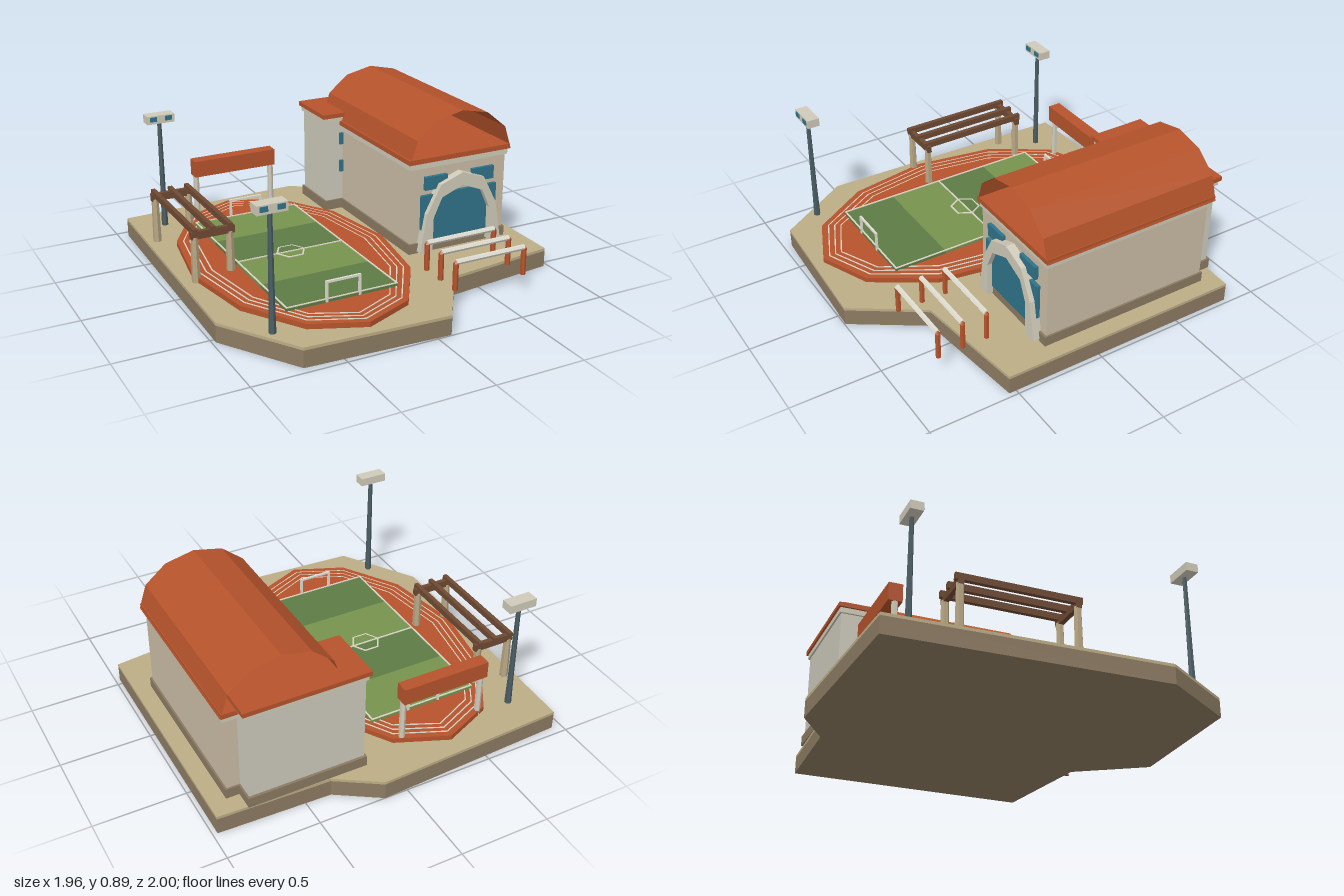
import * as THREE from 'three';

const C = {
  soil: 0x8c7b62, sand: 0xbcad86, red: 0xb5532b, line: 0xd8d4c4, grassA: 0x77934d, grassB: 0x5d7c45,
  wall: 0xcabda5, annex: 0xcdc9bb, cream: 0xcfcab9, plinth: 0x8a7a62, glass: 0x2f7389,
  wood: 0x6e4a33, post: 0xb8a684, steel: 0x4a5d63, white: 0xe0ddd2,
};
const mats = {};
const mat = (color, double) => (mats[color + '-' + !!double] ??= new THREE.MeshStandardMaterial({
  color, flatShading: true, side: double ? THREE.DoubleSide : THREE.FrontSide }));

function add(parent, name, geo, color, double) {
  const m = new THREE.Mesh(geo, mat(color, double));
  m.name = name;
  parent.add(m);
  return m;
}
// Box given by its limits on each axis
function box(parent, name, color, x0, x1, y0, y1, z0, z1) {
  const m = add(parent, name, new THREE.BoxGeometry(x1 - x0, y1 - y0, z1 - z0), color);
  m.position.set((x0 + x1) / 2, (y0 + y1) / 2, (z0 + z1) / 2);
  return m;
}
// Upright round post
function post(parent, name, color, x, z, y0, y1, rBottom, rTop = rBottom, sides = 6) {
  const m = add(parent, name, new THREE.CylinderGeometry(rTop, rBottom, y1 - y0, sides), color);
  m.position.set(x, (y0 + y1) / 2, z);
  return m;
}
// Flat plate from [x, z] outline, with an optional hole
function plate(parent, name, color, pts, y0, y1, hole) {
  const v = (list) => list.map(([x, z]) => new THREE.Vector2(x, -z));
  const shape = new THREE.Shape(v(pts));
  if (hole) shape.holes.push(new THREE.Path(v(hole)));
  const geo = new THREE.ExtrudeGeometry(shape, { depth: y1 - y0, bevelEnabled: false });
  geo.rotateX(-Math.PI / 2).translate(0, y0, 0);
  return add(parent, name, geo, color);
}
const ellipse = (cx, cz, rx, rz, n) => Array.from({ length: n }, (_, i) => {
  const a = (i / n) * Math.PI * 2;
  return [cx + rx * Math.cos(a), cz + rz * Math.sin(a)];
});
function section(root, name) {
  const g = new THREE.Group();
  g.name = name;
  root.add(g);
  return g;
}

function buildGround(root) {
  const g = section(root, 'ground');
  const outline = [[-0.945, -0.95], [0.13, -1], [0.36, -0.85], [0.975, -0.83], [0.975, 0.54],
    [0.33, 0.62], [0.08, 0.995], [-0.71, 0.955], [-0.98, 0.53]];
  plate(g, 'groundBase', C.soil, outline, 0, 0.092);
  plate(g, 'groundTop', C.sand, outline, 0.092, 0.108);
}

function buildTrackAndField(root) {
  const g = section(root, 'trackAndField');
  const cx = -0.335, cz = 0.018;
  plate(g, 'runningTrack', C.red, ellipse(cx, cz, 0.565, 0.9, 12), 0.108, 0.136);
  for (const inset of [0.035, 0.07, 0.105]) {
    plate(g, 'laneLine', C.line, ellipse(cx, cz, 0.565 - inset, 0.9 - inset, 12), 0.136, 0.139,
      ellipse(cx, cz, 0.558 - inset, 0.893 - inset, 12));
  }
  // Striped pitch
  const x0 = -0.65, x1 = -0.02, z0 = -0.6, z1 = 0.636, step = (z1 - z0) / 4;
  for (let i = 0; i < 4; i++) {
    box(g, 'grassStripe', i % 2 ? C.grassB : C.grassA, x0, x1, 0.11, 0.152, z0 + i * step, z0 + (i + 1) * step);
  }
  // Pitch markings
  const w = 0.009, ya = 0.152, yb = 0.156;
  for (const z of [z0, cz - w / 2, z1 - w]) box(g, 'crossLine', C.line, x0, x1, ya, yb, z, z + w);
  for (const x of [x0, x1 - w]) box(g, 'sideLine', C.line, x, x + w, ya, yb, z0, z1);
  plate(g, 'centreCircle', C.line, ellipse(cx, cz, 0.085, 0.085, 6), ya, yb, ellipse(cx, cz, 0.075, 0.075, 6));
  // Goals
  for (const z of [z0, z1]) {
    const goal = section(g, 'goal');
    for (const s of [-1, 1]) {
      box(goal, 'goalPost', C.white, cx + s * 0.093 - 0.006, cx + s * 0.093 + 0.006, 0.14, 0.255, z - 0.006, z + 0.006);
    }
    box(goal, 'crossbar', C.white, cx - 0.099, cx + 0.099, 0.243, 0.255, z - 0.006, z + 0.006);
  }
}

function buildHall(root) {
  const g = section(root, 'sportsHall');
  const cx = 0.57;
  // Main block
  box(g, 'plinth', C.plinth, cx - 0.312, cx + 0.312, 0.108, 0.165, -0.735, 0.272);
  box(g, 'hallWalls', C.wall, cx - 0.302, cx + 0.302, 0.108, 0.6, -0.725, 0.26);
  box(g, 'cornice', C.cream, cx - 0.312, cx + 0.312, 0.595, 0.63, -0.74, 0.27);
  box(g, 'roofSlab', C.red, cx - 0.322, cx + 0.322, 0.628, 0.655, -0.755, 0.28);
  // Open barrel vault
  const vault = new THREE.CylinderGeometry(1, 1, 1.035, 6, 1, true, -Math.PI / 2, Math.PI);
  vault.rotateX(-Math.PI / 2).scale(0.322, 0.265, 1);
  add(g, 'vaultRoof', vault, C.red, true).position.set(cx + 0.004, 0.628, -0.2375);

  // Rear annex
  box(g, 'annexPlinth', C.plinth, 0.15, 0.81, 0.108, 0.165, -0.845, -0.525);
  box(g, 'annexWalls', C.annex, 0.16, 0.8, 0.108, 0.655, -0.83, -0.535);
  box(g, 'annexCornice', C.cream, 0.148, 0.812, 0.65, 0.68, -0.84, -0.525);
  box(g, 'annexRoof', C.red, 0.136, 0.825, 0.68, 0.705, -0.85, -0.515);
  for (const y of [0.34, 0.51]) box(g, 'annexWindow', C.glass, 0.245, 0.3, y, y + 0.07, -0.54, -0.52);

  // Front glazing and entrance arch
  box(g, 'entranceGlass', C.glass, cx - 0.24, cx + 0.24, 0.165, 0.44, 0.25, 0.28);
  for (const s of [-1, 1]) {
    box(g, 'upperWindow', C.glass, cx + s * 0.15 - 0.07, cx + s * 0.15 + 0.07, 0.47, 0.545, 0.25, 0.28);
  }
  const outer = [[0.262, 0.12], [0.222, 0.34], [0.138, 0.5]];
  const inner = [[0.182, 0.12], [0.18, 0.315], [0.13, 0.425]];
  const mirror = (half, top) => [...half, [0, top], ...half.map(([x, y]) => [-x, y]).reverse()];
  const arch = new THREE.Shape([...mirror(outer, 0.55), ...mirror(inner, 0.477).reverse()]
    .map(([x, y]) => new THREE.Vector2(x, y)));
  const archGeo = new THREE.ExtrudeGeometry(arch, { depth: 0.05, bevelEnabled: false });
  add(g, 'entranceArch', archGeo, C.cream).position.set(cx, 0, 0.258);
}

function buildPergola(root) {
  const g = section(root, 'pergola');
  for (const z of [-0.555, 0.055]) {
    for (const x of [-0.895, -0.7]) post(g, 'pergolaPost', C.post, x, z, 0.108, 0.36, 0.024, 0.02);
    box(g, 'crossBeam', C.wood, -0.917, -0.675, 0.35, 0.392, z - 0.013, z + 0.013);
  }
  for (const x of [-0.895, -0.797, -0.7]) box(g, 'longBeam', C.wood, x - 0.012, x + 0.012, 0.375, 0.41, -0.582, 0.08);
}

function buildScoreboard(root) {
  const g = section(root, 'scoreboard');
  for (const x of [-0.572, -0.102]) post(g, 'boardPost', C.cream, x, -0.765, 0.108, 0.39, 0.017);
  box(g, 'board', C.red, -0.588, -0.086, 0.375, 0.47, -0.803, -0.73);
}

function buildFloodlight(root, z) {
  const g = section(root, 'floodlight');
  const x = -0.777;
  post(g, 'mastFoot', C.steel, x, z, 0.108, 0.26, 0.019, 0.016);
  post(g, 'mast', C.steel, x, z, 0.25, 0.745, 0.016, 0.012);
  box(g, 'lampHead', C.cream, x - 0.08, x + 0.08, 0.733, 0.78, z - 0.036, z + 0.034);
  for (const s of [-1, 1]) {
    box(g, 'lamp', C.glass, x + s * 0.044 - 0.02, x + s * 0.044 + 0.02, 0.748, 0.774, z + 0.03, z + 0.04);
  }
}

function buildBar(root, z) {
  const g = section(root, 'exerciseBar');
  for (const x of [0.245, 0.666]) {
    post(g, 'barPost', C.red, x, z, 0.108, 0.258, 0.015);
    post(g, 'postTip', C.red, x, z, 0.258, 0.272, 0.015, 0.004);
  }
  const bar = post(g, 'barRail', C.white, 0.4555, z, 0, 0.42, 0.015);
  bar.rotation.z = Math.PI / 2;
  bar.position.y = 0.264;
}

export function createModel() {
  const root = new THREE.Group();
  root.name = 'sportsGround';
  buildGround(root);
  buildTrackAndField(root);
  buildHall(root);
  buildPergola(root);
  buildScoreboard(root);
  for (const z of [-0.762, 0.755]) buildFloodlight(root, z);
  for (const z of [0.482, 0.621, 0.761]) buildBar(root, z);
  return root;
}
